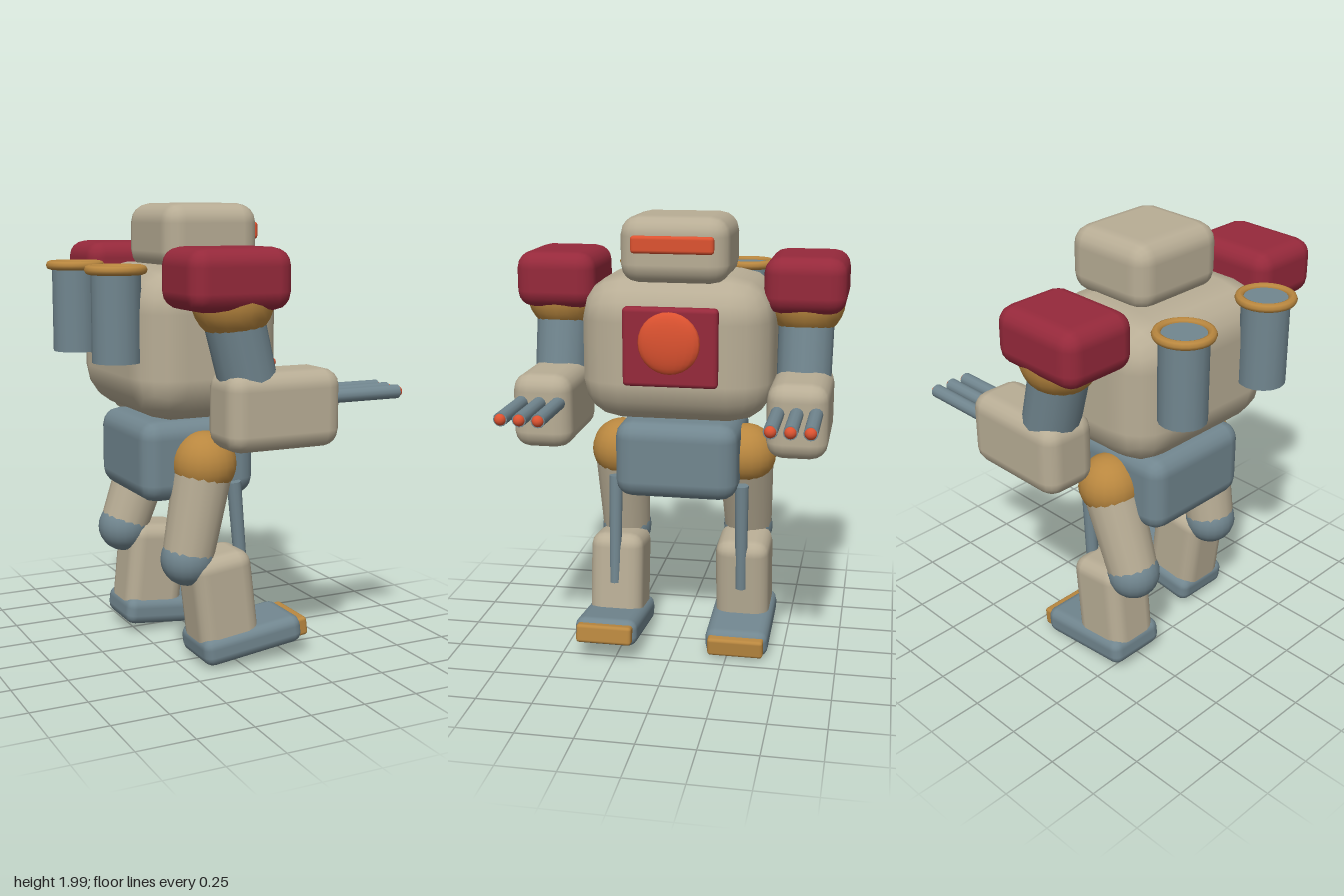
import * as THREE from 'three';
import { RoundedBoxGeometry } from 'three/addons/geometries/RoundedBoxGeometry.js';

const mat = (name, color) => {
  const m = new THREE.MeshStandardMaterial({ color });
  m.name = name;
  return m;
};

export function createModel() {
  const bone = mat('bone armour', 0xb8ad95);
  const steel = mat('blue steel', 0x71868f);
  const gold = mat('brass', 0xb9873f);
  const crimson = mat('crimson', 0x96293b);
  const glow = mat('orange glow', 0xdc5230);
  const model = new THREE.Group();
  model.name = 'walkingRobot';

  const add = (parent, name, geometry, material, x, y, z) => {
    const m = new THREE.Mesh(geometry, material);
    m.name = name;
    m.position.set(x, y, z);
    parent.add(m);
    return m;
  };
  const box = (parent, name, material, [w, h, d], r, [x, y, z]) =>
    add(parent, name, new RoundedBoxGeometry(w, h, d, 2, r), material, x, y, z);
  const ball = (parent, name, material, r, [x, y, z]) =>
    add(parent, name, new THREE.SphereGeometry(r, 20, 14), material, x, y, z);
  // Cylinder running from point a (radius ra) to point b (radius rb)
  const rod = (parent, name, material, a, b, ra, rb = ra, sides = 16) => {
    const from = new THREE.Vector3(...a), to = new THREE.Vector3(...b);
    const dir = to.clone().sub(from);
    const mid = from.clone().add(to).multiplyScalar(0.5);
    const m = add(parent, name, new THREE.CylinderGeometry(rb, ra, dir.length(), sides), material, mid.x, mid.y, mid.z);
    m.quaternion.setFromUnitVectors(new THREE.Vector3(0, 1, 0), dir.normalize());
    return m;
  };

  // Body, with the face and chest towards +x
  box(model, 'torso', bone, [0.66, 0.65, 0.86], 0.19, [-0.125, 1.415, 0]);
  box(model, 'pelvis', steel, [0.535, 0.355, 0.56], 0.08, [-0.132, 0.908, 0]);
  box(model, 'head', bone, [0.44, 0.29, 0.48], 0.085, [-0.05, 1.855, 0]);
  box(model, 'visor', glow, [0.05, 0.075, 0.36], 0.015, [0.16, 1.883, 0]);
  box(model, 'chestPlate', crimson, [0.06, 0.345, 0.415], 0.02, [0.21, 1.453, 0]);
  ball(model, 'chestLens', glow, 0.135, [0.25, 1.477, 0]).scale.x = 0.28;

  for (const s of [1, -1]) {
    // Exhaust canisters on the back
    const canister = new THREE.Group();
    canister.name = s > 0 ? 'rightCanister' : 'leftCanister';
    model.add(canister);
    rod(canister, 'canister', steel, [-0.508, 1.35, 0.247 * s], [-0.508, 1.735, 0.247 * s], 0.103);
    const rim = add(canister, 'canisterRim', new THREE.TorusGeometry(0.11, 0.02, 8, 28), gold, -0.508, 1.73, 0.247 * s);
    rim.rotation.x = Math.PI / 2;

    // Arms with three barrels each
    const arm = new THREE.Group();
    arm.name = s > 0 ? 'rightArm' : 'leftArm';
    model.add(arm);
    const z = 0.555 * s;
    box(arm, 'shoulderArmour', crimson, [0.45, 0.25, 0.36], 0.075, [-0.16, 1.702, z]);
    ball(arm, 'shoulderJoint', gold, 0.17, [-0.13, 1.62, z]);
    rod(arm, 'upperArm', steel, [-0.14, 1.6, z], [-0.03, 1.17, z], 0.125, 0.12);
    box(arm, 'forearm', bone, [0.52, 0.33, 0.265], 0.075, [0.065, 1.165, z]);
    for (const i of [-1, 0, 1]) {
      const bz = z + i * 0.08;
      rod(arm, 'barrel', steel, [0.28, 1.21, bz], [0.615, 1.21, bz], 0.03, 0.03, 12);
      ball(arm, 'barrelTip', glow, 0.025, [0.612, 1.21, bz]);
    }
  }

  // Legs in mid stride: the right steps forward, the left trails behind
  const strides = [
    { name: 'rightLeg', z: 0.292, knee: [-0.21, 0.485], foot: [0.055, 0.108], tilt: 0.12,
      piston: [[0.013, 0.805], [0.06, 0.295]] },
    { name: 'leftLeg', z: -0.292, knee: [-0.275, 0.5], foot: [-0.07, 0.088], tilt: -0.1,
      piston: [[0.008, 0.785], [-0.015, 0.275]] },
  ];
  for (const { name, z, knee, foot, tilt, piston } of strides) {
    const leg = new THREE.Group();
    leg.name = name;
    model.add(leg);
    ball(leg, 'hipJoint', gold, 0.14, [-0.13, 0.9, z]);
    rod(leg, 'thigh', bone, [-0.13, 0.9, z], [...knee, z], 0.129, 0.112);
    ball(leg, 'kneeJoint', steel, 0.118, [...knee, z]);
    rod(leg, 'piston', steel, [...piston[0], z], [...piston[1], z], 0.032, 0.026, 12);

    // Shin and foot share one tilt
    const lower = new THREE.Group();
    lower.name = 'lowerLeg';
    lower.position.set(...foot, z);
    lower.rotation.z = tilt;
    leg.add(lower);
    box(lower, 'shin', bone, [0.28, 0.44, 0.25], 0.065, [-0.096, 0.195, 0]);
    box(lower, 'foot', steel, [0.48, 0.125, 0.29], 0.045, [0, 0, 0]);
    box(lower, 'toe', gold, [0.06, 0.085, 0.255], 0.015, [0.24, 0, 0]);
  }
  return model;
}
